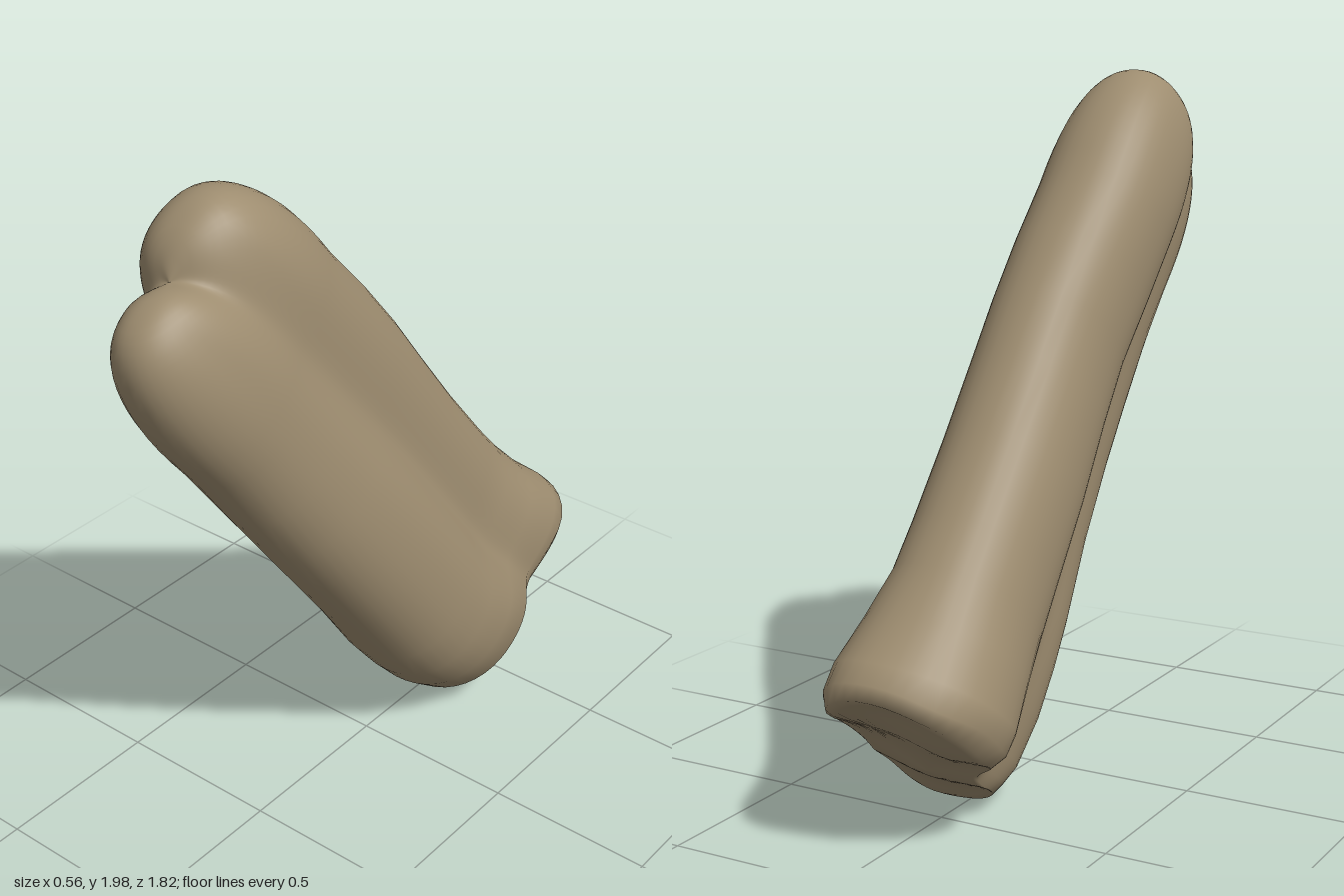
import * as THREE from 'three';

// Stations along the slanted axis. Two overlapping lobes share one skin:
// s, upper lobe: xMin, xMax, depthMax, lower lobe: xMin, xMax, depthMin
const STATIONS = [
  [-0.21, -0.24, 0.15, 0.985, -0.11, 0.16, 0.272],
  [-0.17, -0.275, 0.165, 1.01, -0.12, 0.2, 0.24],
  [-0.10, -0.28, 0.175, 1.0, -0.135, 0.25, 0.203],
  [0.05, -0.26, 0.165, 0.968, -0.148, 0.276, 0.172],
  [0.20, -0.243, 0.15, 0.952, -0.15, 0.282, 0.163],
  [0.35, -0.238, 0.148, 0.943, -0.14, 0.282, 0.16],
  [0.60, -0.233, 0.148, 0.936, -0.12, 0.276, 0.174],
  [0.85, -0.218, 0.148, 0.937, -0.11, 0.266, 0.182],
  [1.05, -0.213, 0.148, 0.941, -0.108, 0.247, 0.19],
  [1.25, -0.228, 0.148, 0.937, -0.11, 0.226, 0.2],
  [1.45, -0.238, 0.145, 0.923, -0.122, 0.206, 0.213],
];
const AROUND = 72;
const CENTRE_U = 0.55;
const clamp = THREE.MathUtils.clamp;

// 0 along the body, 1 at the cut foot
const foot = (s) => clamp((0.2 - s) / 0.35, 0, 1);

// Superelliptic distance from a lobe's centre (1 on its outline)
function lobeDistance(x, u, x0, x1, u0, u1) {
  const a = Math.abs((x - (x0 + x1) / 2) / ((x1 - x0) / 2));
  const b = Math.abs((u - (u0 + u1) / 2) / ((u1 - u0) / 2));
  return Math.max(1e-3, Math.pow(a ** 2.2 + b ** 2.2, 1 / 2.2));
}

// Both lobes softly joined; the valley fades out at the foot
function joinedDistance(x, u, p) {
  const f = foot(p[0]);
  const k = 7.5 - 3.5 * f;
  const upper = lobeDistance(x, u, p[1], p[2], 0.465 + 0.09 * f, p[3]);
  const lower = lobeDistance(x, u, p[4], p[5], p[6], 0.635);
  return Math.pow(upper ** -k + lower ** -k, -1 / k);
}

// Outline along one ray from the middle
function outlineRadius(angle, p) {
  let lo = 0, hi = 0.8;
  for (let i = 0; i < 28; i++) {
    const r = (lo + hi) / 2;
    const d = joinedDistance(r * Math.cos(angle), CENTRE_U + r * Math.sin(angle), p);
    if (d < 1) lo = r; else hi = r;
  }
  return lo;
}

function createSkin() {
  const positions = [], index = [];
  let rows = 0;
  const addRing = (p, scale, height) => {
    for (let i = 0; i < AROUND; i++) {
      const angle = (i / AROUND) * Math.PI * 2;
      const r = outlineRadius(angle, p) * scale;
      const x = r * Math.cos(angle), u = CENTRE_U + r * Math.sin(angle);
      const s = height(x, u);
      // skew the foot and lean the lower tip sideways
      const skewed = u + 0.2 * x * foot(s);
      const leaned = x - 0.08 * Math.max(0, s - 1.45) * clamp((0.75 - u) / 0.3, 0, 1);
      // tilt the axis forward
      positions.push(leaned, 0.785 * s + 0.62 * skewed, 0.62 * s - 0.785 * skewed);
    }
    rows++;
  };

  // Rumpled cut end
  const rumple = (x, u) => 0.009 * (Math.sin(17 * x + 9 * u) + Math.sin(21 * u - 8 * x));
  for (const r of [0.001, 0.2, 0.4, 0.6, 0.78, 0.92]) {
    addRing(STATIONS[0], r, (x, u) => -0.212 + rumple(x, u));
  }
  // Long sides
  STATIONS.forEach((p, k) => addRing(p, 1, (x, u) => p[0] + (k < 2 ? rumple(x, u) * 0.6 : 0)));
  // Rounded twin tips with a shallow notch between them
  const last = STATIONS[STATIONS.length - 1];
  for (let k = 1; k <= 18; k++) {
    const r = Math.max(0.001, Math.pow(Math.cos((k / 18) * Math.PI / 2), 0.8));
    addRing(last, r, (x, u) => {
      const d = Math.min(1, joinedDistance(x, u, last));
      return last[0] + 0.48 * Math.pow(1 - d ** 2.5, 0.4);
    });
  }

  for (let j = 0; j < rows - 1; j++) {
    for (let i = 0; i < AROUND; i++) {
      const n = (i + 1) % AROUND;
      const a = j * AROUND + i, b = j * AROUND + n;
      index.push(a, b, b + AROUND, a, b + AROUND, a + AROUND);
    }
  }
  const geometry = new THREE.BufferGeometry();
  geometry.setAttribute('position', new THREE.Float32BufferAttribute(positions, 3));
  geometry.setIndex(index);
  geometry.computeVertexNormals();
  return geometry;
}

export function createModel() {
  const group = new THREE.Group();
  group.name = 'joinedLobes';
  const tan = new THREE.MeshStandardMaterial({ color: 0x9e8d70 });
  tan.name = 'tan';
  const body = new THREE.Mesh(createSkin(), tan);
  body.name = 'twinLobedBody';
  group.add(body);
  return group;
}
